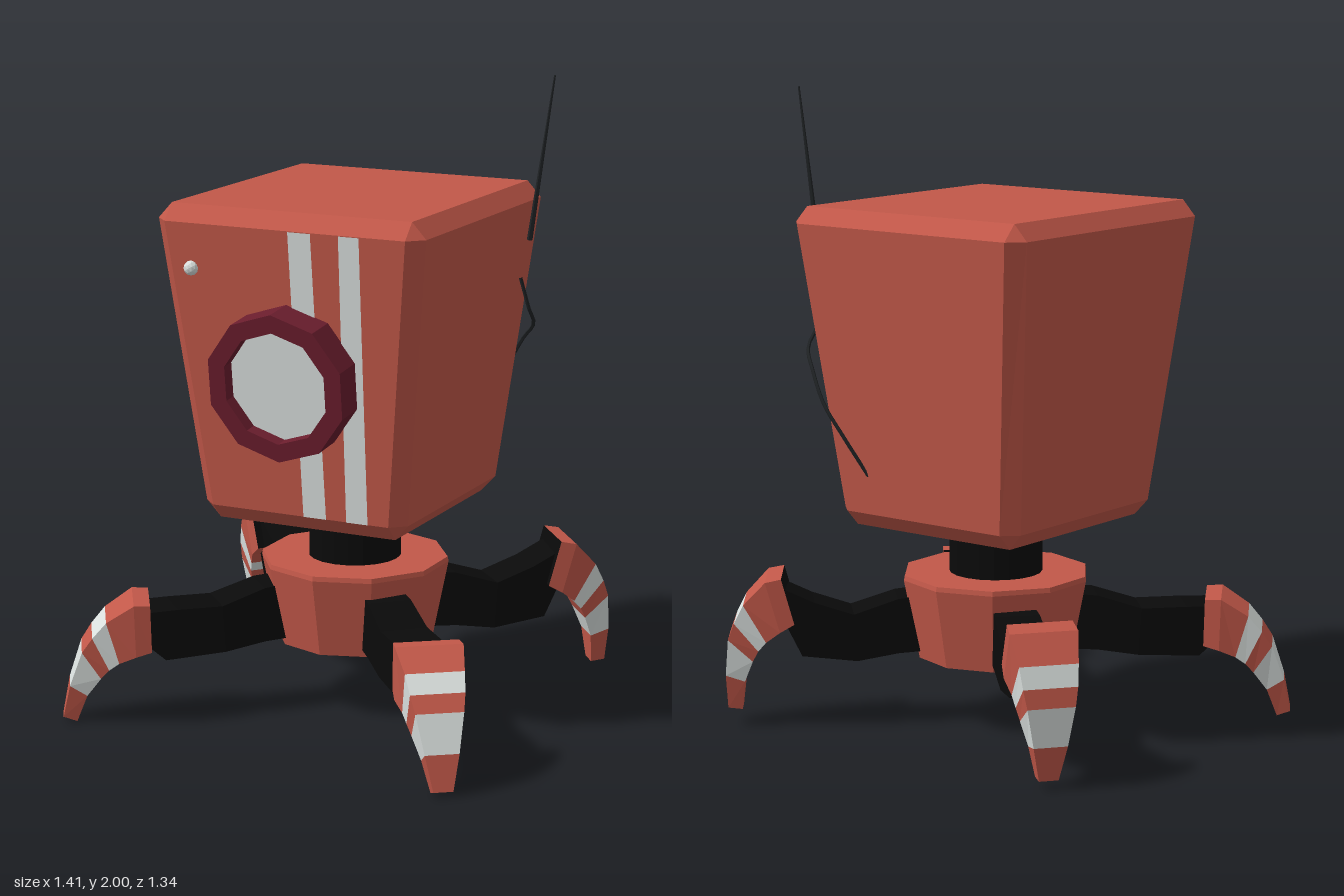
import * as THREE from 'three';

const flat = (name, color) => {
  const m = new THREE.MeshStandardMaterial({ color, flatShading: true });
  m.name = name;
  return m;
};
const red = flat('rustRed', 0xc25849);
const white = flat('paleGrey', 0xdbe1df);
const maroon = flat('darkMaroon', 0x6a1d2d);
const black = flat('black', 0x0a0a0a);
const wire = flat('wireGrey', 0x1f2224);

function mesh(name, geometry, material, parent) {
  const m = new THREE.Mesh(geometry, material);
  m.name = name;
  parent.add(m);
  return m;
}

// Skins a list of rings, counter-clockwise about the direction of travel, with both ends closed.
// bands gives the material index of each segment, startCap that of the first end.
function loft(rings, bands = [], startCap = 0) {
  const pos = [];
  const geo = new THREE.BufferGeometry();
  const n = rings[0].length;
  const add = (material, ...tris) => {
    geo.addGroup(pos.length / 3, tris.length, material);
    tris.forEach((p) => pos.push(...p));
  };
  for (let k = 0; k < rings.length - 1; k++) {
    const a = rings[k], b = rings[k + 1];
    for (let i = 0; i < n; i++) {
      const j = (i + 1) % n;
      add(bands[k] || 0, a[i], a[j], b[j], a[i], b[j], b[i]);
    }
  }
  const first = rings[0], last = rings[rings.length - 1];
  for (let i = 1; i < n - 1; i++) {
    add(startCap, first[0], first[i + 1], first[i]);
    add(0, last[0], last[i], last[i + 1]);
  }
  geo.setAttribute('position', new THREE.Float32BufferAttribute(pos, 3));
  geo.computeVertexNormals();
  return geo;
}

// Four-cornered section from a top point, a bottom point and a half width
const section = ([tx, ty, bx, by, w]) => [[tx, ty, -w], [tx, ty, w], [bx, by, w], [bx, by, -w]];

// Eight-cornered section of the head
const headRing = ([y, xi, xo, zi, zo]) => [
  [-xi, y, zo], [xi, y, zo], [xo, y, zi], [xo, y, -zi],
  [xi, y, -zo], [-xi, y, -zo], [-xo, y, -zi], [-xo, y, zi],
];

function decagon(r, Type = THREE.Shape) {
  const pts = [];
  for (let i = 0; i < 10; i++) {
    const a = Math.PI / 2 + (i * Math.PI) / 5;
    pts.push(new THREE.Vector2(r * Math.cos(a), r * Math.sin(a)));
  }
  return new Type(pts);
}

const BASE = [0.04, -0.045];

// Foot profile around the knee: top x, y, bottom x, y, half width
const FOOT = [
  [0.025, 0.085, -0.015, -0.06, 0.1],
  [0.075, 0.075, 0.03, -0.085, 0.104],
  [0.145, 0, 0.075, -0.12, 0.09],
  [0.175, -0.06, 0.1, -0.15, 0.083],
  [0.195, -0.115, 0.118, -0.185, 0.073],
  [0.205, -0.235, 0.145, -0.255, 0.052],
  [0.2, -0.345, 0.155, -0.35, 0.03],
];

function buildLeg(name, [x, y, z], yaw, pitch, parent) {
  const leg = new THREE.Group();
  leg.name = name;
  parent.add(leg);

  // Black arm from the base out to the knee
  const rootX = BASE[0] + Math.sign(x) * 0.02;
  const dx = x - rootX, dz = z - BASE[1], s = Math.hypot(dx, dz);
  const arm = mesh('arm', loft([
    [0.2, 0.42, 0.2, 0.24, 0.065],
    [0.3, 0.41, 0.3, 0.235, 0.07],
    [0.44, 0.365, 0.43, 0.215, 0.075],
    [s - 0.07, y * 0.4 + 0.245, s - 0.03, y * 0.3 + 0.115, 0.075],
    [s + 0.05, y + 0.06, s + 0.03, y - 0.045, 0.075],
  ].map(section)), black, leg);
  arm.position.set(rootX, 0, BASE[1]);
  arm.rotation.y = Math.atan2(-dz, dx);

  // Banded claw with a dark socket
  const foot = mesh('foot', loft(FOOT.map(section), [0, 0, 1, 0, 1, 0], 2), [red, white, black], leg);
  const a = THREE.MathUtils.degToRad(yaw);
  foot.position.set(x, y, z);
  foot.rotation.y = Math.atan2(-Math.sign(z) * Math.sin(a), Math.sign(x) * Math.cos(a));
  foot.rotation.z = THREE.MathUtils.degToRad(pitch);
}

export function createModel() {
  const model = new THREE.Group();
  model.name = 'walkerRobot';

  // Head: tapered box with chamfered edges
  mesh('head', loft([
    [0.647, 0.3, 0.3, 0.325, 0.325],
    [0.698, 0.3, 0.346, 0.33, 0.375],
    [1.597, 0.4, 0.446, 0.432, 0.48],
    [1.647, 0.4, 0.4, 0.432, 0.432],
  ].map(headRing)), red, model).position.set(0.037, 0, -0.04);

  // Sloped face carrying the stripes and the eye
  const face = new THREE.Group();
  face.name = 'face';
  face.position.set(0.035, 1.135, 0.386);
  face.rotation.x = Math.atan2(0.105, 0.9);
  model.add(face);

  // Stripes: left and right edges at the top, then at the bottom
  [[0.02, 0.095, 0.018, 0.095], [0.187, 0.254, 0.163, 0.235]].forEach(([tl, tr, bl, br]) => {
    const shape = new THREE.Shape([
      new THREE.Vector2(bl, -0.439), new THREE.Vector2(br, -0.439),
      new THREE.Vector2(tr, 0.464), new THREE.Vector2(tl, 0.464),
    ]);
    mesh('stripe', new THREE.ShapeGeometry(shape), white, face).position.z = 0.004;
  });

  // Eye
  const rim = decagon(0.232);
  rim.holes.push(decagon(0.175, THREE.Path));
  mesh('eyeRim', new THREE.ExtrudeGeometry(rim, { depth: 0.125, bevelEnabled: false }), maroon, face)
    .position.set(0, 0.004, -0.02);
  mesh('eyeLens', new THREE.CircleGeometry(0.178, 10, Math.PI / 2), white, face)
    .position.set(0, 0.004, 0.06);

  // Small sensor
  mesh('sensor', new THREE.IcosahedronGeometry(0.023, 1), white, model).position.set(-0.28, 1.457, 0.427);

  // Antenna
  const foot = new THREE.Vector3(0.497, 1.48, -0.352), tip = new THREE.Vector3(0.573, 2, -0.352);
  const dir = tip.clone().sub(foot);
  const antenna = mesh('antenna', new THREE.CylinderGeometry(0.003, 0.009, dir.length(), 6), wire, model);
  antenna.position.copy(foot).add(tip).multiplyScalar(0.5);
  antenna.quaternion.setFromUnitVectors(new THREE.Vector3(0, 1, 0), dir.normalize());

  // Loose cable round the back corner
  const cable = new THREE.CatmullRomCurve3([
    [0.472, 1.36, -0.343], [0.49, 1.26, -0.37], [0.487, 1.2, -0.42], [0.435, 1.14, -0.46],
    [0.37, 1.04, -0.482], [0.31, 0.95, -0.468], [0.24, 0.82, -0.425],
  ].map((p) => new THREE.Vector3(...p)));
  mesh('cable', new THREE.TubeGeometry(cable, 24, 0.006, 5), wire, model);

  // Neck and base
  mesh('neck', new THREE.CylinderGeometry(0.147, 0.147, 0.22, 20), black, model)
    .position.set(BASE[0], 0.56, BASE[1]);
  const profile = [[0, 0.215], [0.25, 0.215], [0.3, 0.468], [0.297, 0.483], [0, 0.483]];
  mesh('base', new THREE.LatheGeometry(profile.map((p) => new THREE.Vector2(...p)), 10), red, model)
    .position.set(BASE[0], 0, BASE[1]);

  // Legs: knee position, foot yaw, foot pitch
  buildLeg('frontLeftLeg', [0.505, 0.305, 0.425], 54, 14, model);
  buildLeg('frontRightLeg', [-0.45, 0.305, 0.41], 32, 14, model);
  buildLeg('backLeftLeg', [0.51, 0.405, -0.49], 39, 0, model);
  buildLeg('backRightLeg', [-0.44, 0.4, -0.465], 38, -9, model);

  return model;
}
